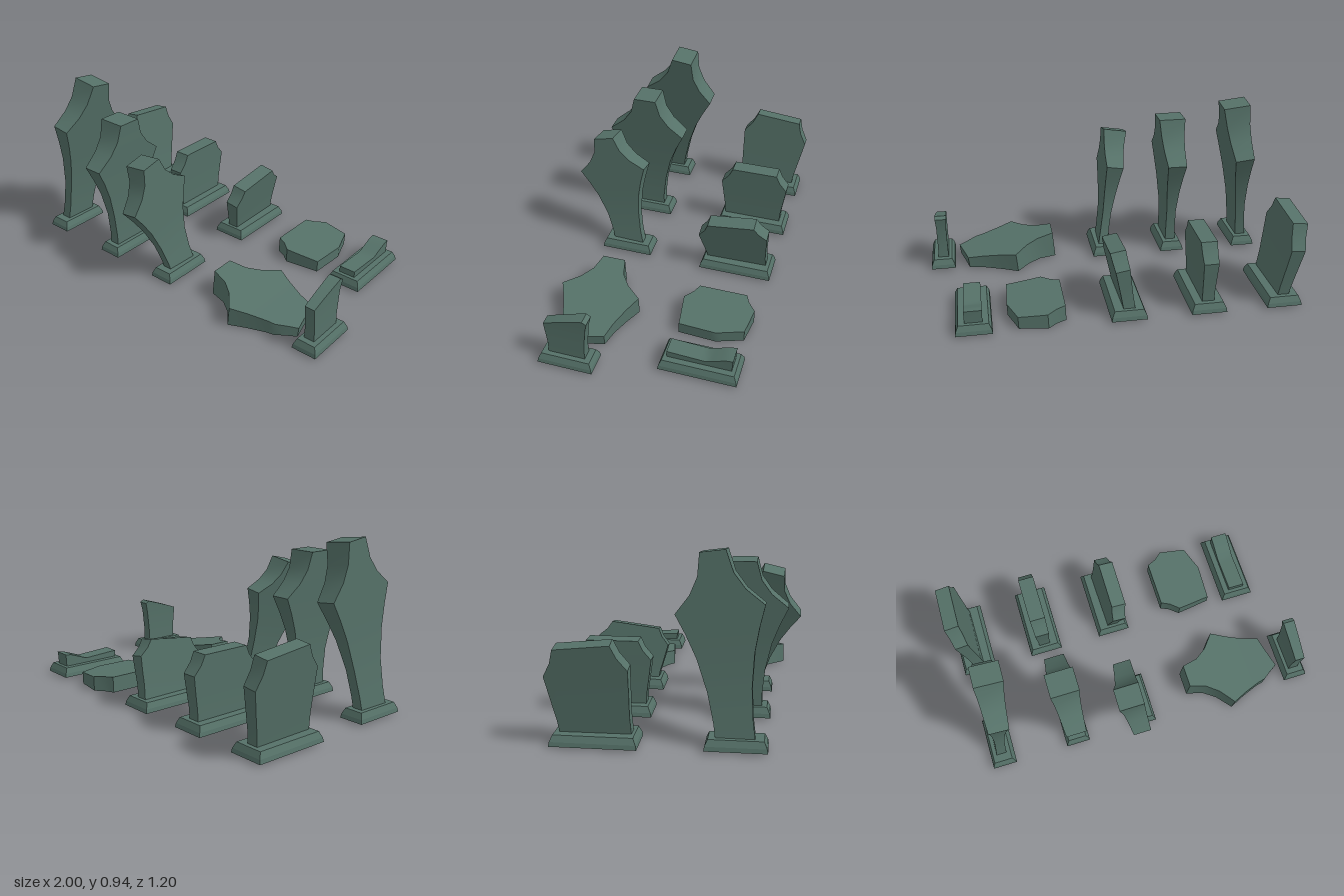
import * as THREE from 'three';
import { toCreasedNormals } from 'three/addons/utils/BufferGeometryUtils.js';

const stoneMat = new THREE.MeshStandardMaterial({ color: 0x557168, side: THREE.DoubleSide });
stoneMat.name = 'grey green stone';

// Cross-sections of both stone types: [height, half width in z, half thickness in x]
const PILLAR = [
  [-0.03, 0.1, 0.03], [0.07, 0.1, 0.028], [0.2, 0.113, 0.028], [0.34, 0.145, 0.038], [0.44, 0.183, 0.047],
  [0.53, 0.225, 0.055], [0.6, 0.14, 0.062], [0.67, 0.09, 0.068], [0.765, 0.065, 0.077],
];
const TABLET = [
  [-0.03, 0.17, 0.033], [0.06, 0.175, 0.034], [0.15, 0.188, 0.037],
  [0.24, 0.2, 0.041], [0.29, 0.158, 0.043], [0.34, 0.135, 0.045],
];

// Linear lookup in a table whose first column ascends
function lookup(table, t, col) {
  if (t <= table[0][0]) return table[0][col];
  for (let i = 1; i < table.length; i++) {
    const a = table[i - 1], b = table[i];
    if (t <= b[0]) return a[col] + (b[col] - a[col]) * (t - a[0]) / (b[0] - a[0]);
  }
  return table[table.length - 1][col];
}

// Stone shaped by its sections; break lines [side -1..1, height] cut off the bottom or top
function stoneGeometry(profile, { bottom = [[0, -1]], top = [[0, 9]] } = {}) {
  const rows = profile.length - 1;
  const g = new THREE.BoxGeometry(2, 1, 2, 1, rows, 10);
  const p = g.attributes.position;
  for (let k = 0; k < p.count; k++) {
    const c = p.getZ(k);
    const row = profile[Math.round((p.getY(k) + 0.5) * rows)];
    const y = Math.min(Math.max(row[0], lookup(bottom, c, 1)), lookup(top, c, 1));
    p.setXYZ(k, Math.sign(p.getX(k)) * lookup(profile, y, 2), y, c * lookup(profile, y, 1));
  }
  return toCreasedNormals(g, 0.45);
}

// Bevelled plinth with a recess underneath: rows of [inset, height]
function plinthGeometry(w, d) {
  const rows = [[w, 0.035], [0.032, 0.035], [0.032, 0.01], [0, 0.01], [0.004, 0.032], [0.018, 0.063], [w, 0.063]];
  const g = new THREE.LatheGeometry(rows.map((r) => new THREE.Vector2(1, r[1])), 4, Math.PI / 4);
  const p = g.attributes.position;
  for (let k = 0; k < p.count; k++) {
    const inset = rows[k % rows.length][0];
    p.setX(k, Math.sign(p.getX(k)) * (w - inset));
    p.setZ(k, Math.sign(p.getZ(k)) * (d - inset));
  }
  return toCreasedNormals(g, 0.2);
}

export function createModel() {
  const model = new THREE.Group();
  model.name = 'standingStones';

  function add(name, geometry, pos, rot = [0, 0, 0], scale = [1, 1, 1]) {
    const mesh = new THREE.Mesh(geometry, stoneMat);
    mesh.name = name;
    mesh.position.set(...pos);
    mesh.rotation.set(...rot);
    mesh.scale.set(...scale);
    model.add(mesh);
  }

  // Plinths in two rows
  const smallPlinth = plinthGeometry(0.07, 0.15);
  const largePlinth = plinthGeometry(0.097, 0.21);
  for (const x of [-0.9, -0.45, -0.035, 0.93]) add('pillarPlinth', smallPlinth, [x, 0, 0.3]);
  for (const x of [-0.9, -0.48, -0.045, 0.77]) add('tabletPlinth', largePlinth, [x, 0, -0.37]);

  // Whole pillars: one upright, two leaning
  const pillar = stoneGeometry(PILLAR);
  add('backLeaningPillar', pillar, [-0.9, 0.06, 0.295], [-0.13, 0, -0.115], [1, 1.15, 0.93]);
  add('uprightPillar', pillar, [-0.45, 0.06, 0.305]);
  add('forwardLeaningPillar', pillar, [-0.035, 0.06, 0.3], [0.225, 0, 0.15], [0.89, 0.885, 0.89]);

  // Whole tablets: one upright, two leaning
  const tablet = stoneGeometry(TABLET);
  add('backLeaningTablet', tablet, [-0.9, 0.06, -0.365], [-0.1, 0, 0.125], [0.93, 1.32, 1]);
  add('uprightTablet', tablet, [-0.48, 0.06, -0.365]);
  add('forwardLeaningTablet', tablet, [-0.045, 0.06, -0.37], [0.125, 0, -0.16], [0.95, 0.87, 1]);

  // Broken pillar: stump and fallen upper part
  add('pillarStump', stoneGeometry(PILLAR, { top: [[-1, 0.258], [-0.8, 0.272], [1, 0.2]] }), [0.927, 0.06, 0.3]);
  add('fallenPillar', stoneGeometry(PILLAR, { bottom: [[-1, 0.25], [0.6, 0.2], [1, 0.3]] }),
    [1.03, 0.009, 0.285], [0, 0, Math.PI / 2 - 0.092]);

  // Broken tablet: low stump and fallen upper part
  add('tabletStump', stoneGeometry(TABLET, { top: [[-1, 0.075], [-0.8, 0.07], [-0.2, 0.03], [1, 0.04]] }),
    [0.77, 0.06, -0.37], [0, 0, 0], [1.4, 1, 1]);
  add('fallenTablet', stoneGeometry(TABLET, { bottom: [[-1, 0.085], [-0.2, 0.035], [1, 0.045]] }),
    [0.625, 0.033, -0.365], [0, 0, Math.PI / 2 - 0.037]);

  return model;
}
